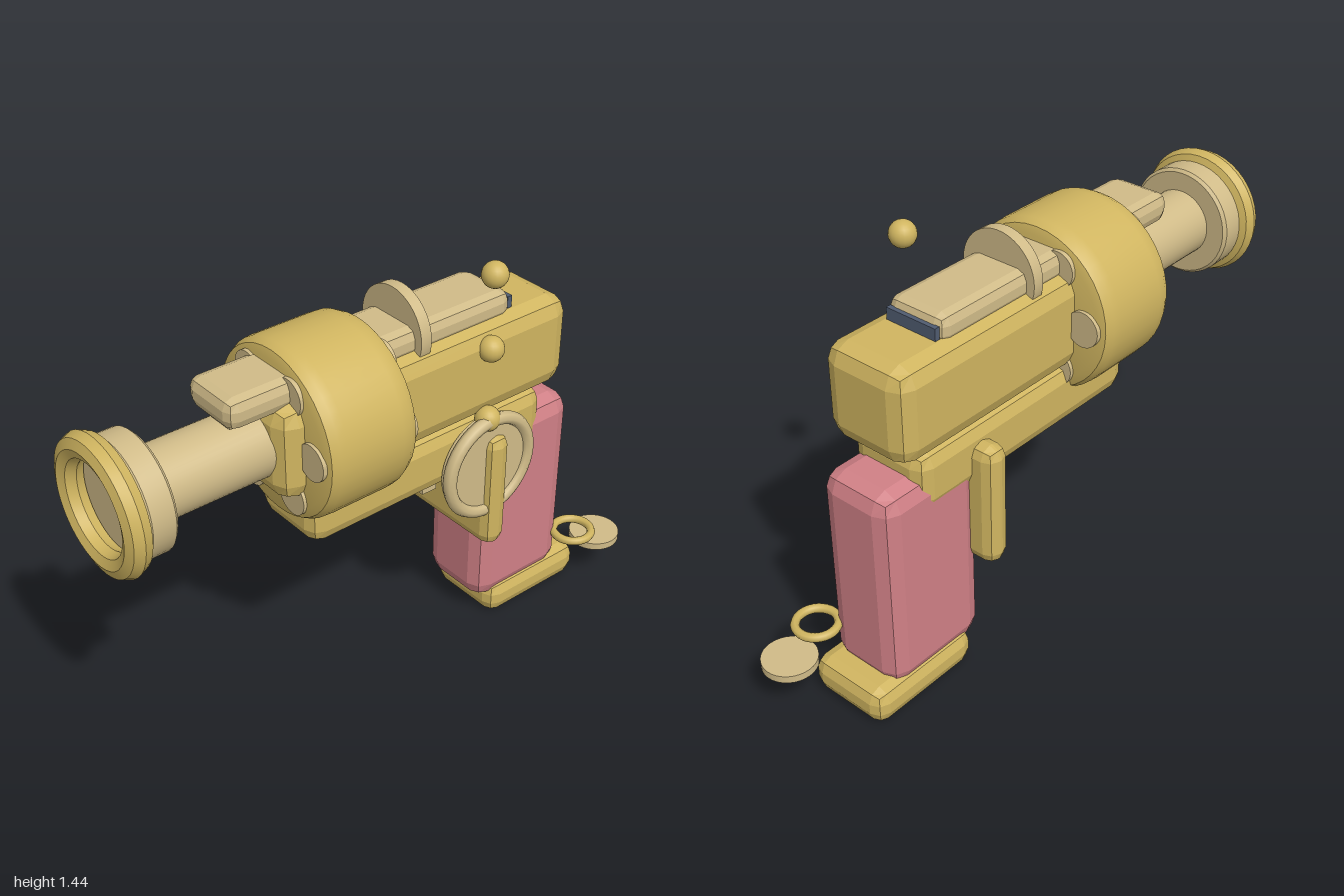
import * as THREE from 'three';
import { toCreasedNormals } from 'three/addons/utils/BufferGeometryUtils.js';
import { RoundedBoxGeometry } from 'three/addons/geometries/RoundedBoxGeometry.js';

const material = (name, color) => {
  const m = new THREE.MeshStandardMaterial({ color });
  m.name = name;
  return m;
};

export function createModel() {
  const gold = material('gold', 0xd0b560);
  const tan = material('tan', 0xd0bb88);
  const pink = material('pink', 0xd08086);
  const slate = material('slate', 0x505c70);
  const model = new THREE.Group();
  model.name = 'blaster';

  const add = (name, geometry, mat, x, y, z) => {
    const mesh = new THREE.Mesh(geometry, mat);
    mesh.name = name;
    mesh.position.set(x, y, z);
    model.add(mesh);
    return mesh;
  };

  // Box with two flat facets on each edge, given by its extents
  const block = (name, mat, halfX, [y0, y1], [z0, z1], bevel) => {
    const g = new RoundedBoxGeometry(halfX * 2, y1 - y0, z1 - z0, 1, bevel);
    g.computeVertexNormals();
    return add(name, g, mat, 0, (y0 + y1) / 2, (z0 + z1) / 2);
  };

  // Turned part along z, from [radius, z] points running back to front
  const turned = (name, mat, x, y, points) => {
    const g = new THREE.LatheGeometry(points.map(([r, z]) => new THREE.Vector2(r, z)), 40);
    g.rotateX(Math.PI / 2);
    return add(name, toCreasedNormals(g, 0.6), mat, x, y, 0);
  };

  const axisY = 1.05;

  // Body, frame, grip and foot
  block('body', gold, 0.16, [0.89, 1.21], [-0.69, 0.46], 0.06);
  block('lowerFrame', gold, 0.145, [0.68, 0.89], [-0.61, 0.35], 0.05);
  block('grip', pink, 0.14, [0.085, 0.81], [-0.755, -0.36], 0.06);
  block('gripFoot', gold, 0.15, [0.003, 0.13], [-0.84, -0.415], 0.045);
  block('guardPlate', gold, 0.22, [0.4, 0.83], [-0.4, -0.31], 0.04);
  add('trigger', new THREE.BoxGeometry(0.05, 0.13, 0.06), tan, 0, 0.64, -0.22);

  // Top rail with rear window and round sight
  block('topRail', tan, 0.11, [1.18, 1.28], [-0.47, 0.6], 0.035);
  add('railFoot', new THREE.BoxGeometry(0.12, 0.03, 0.12), tan, 0, 1.18, 0.51);
  add('rearWindow', new THREE.BoxGeometry(0.19, 0.045, 0.018), slate, 0, 1.228, -0.474);
  turned('roundSight', tan, 0, 1.24, [[0, -0.11], [0.14, -0.11], [0.14, -0.07], [0, -0.07]]);

  // Drum and its six chambers
  turned('drum', gold, 0, axisY, [
    [0, 0.055], [0.25, 0.055], [0.275, 0.064], [0.288, 0.09],
    [0.29, 0.12], [0.29, 0.32], [0.288, 0.35], [0.275, 0.375], [0.25, 0.384], [0, 0.384],
  ]);
  for (let i = 0; i < 6; i++) {
    const a = (i * Math.PI) / 3;
    turned('chamber', tan, Math.cos(a) * 0.2, axisY + Math.sin(a) * 0.2,
      [[0, 0.042], [0.06, 0.042], [0.06, 0.395], [0, 0.395]]);
  }

  // Barrel, collar and muzzle ring
  turned('barrel', tan, 0, axisY, [[0, 0.4], [0.115, 0.4], [0.115, 0.85], [0, 0.85]]);
  turned('muzzleCollar', tan, 0, axisY, [
    [0, 0.83], [0.18, 0.83], [0.19, 0.84], [0.19, 0.915], [0.18, 0.925], [0, 0.925],
  ]);
  const ring = toCreasedNormals(new THREE.TorusGeometry(0.18, 0.042, 8, 40), 0.6);
  add('muzzleRing', ring, gold, 0, axisY, 0.958);

  // Side dial
  const dial = new THREE.CylinderGeometry(0.175, 0.175, 0.04, 40).rotateZ(Math.PI / 2);
  add('dial', dial, tan, 0.17, 0.72, -0.333);
  const rim = new THREE.TorusGeometry(0.17, 0.023, 8, 40).rotateY(Math.PI / 2);
  add('dialRim', rim, tan, 0.185, 0.72, -0.333);

  // Column of small balls on the left
  for (const y of [0.89, 1.145, 1.4]) {
    add('ball', new THREE.SphereGeometry(0.043, 20, 14), gold, 0.167, y, -0.333);
  }

  // Loose ring and disc beside the grip
  const loop = new THREE.TorusGeometry(0.068, 0.015, 8, 32).rotateX(Math.PI / 2);
  add('charmRing', loop, gold, 0.167, 0.225, -0.79);
  add('charmDisc', new THREE.CylinderGeometry(0.09, 0.09, 0.026, 32), tan, 0.167, 0.157, -0.91);

  return model;
}
